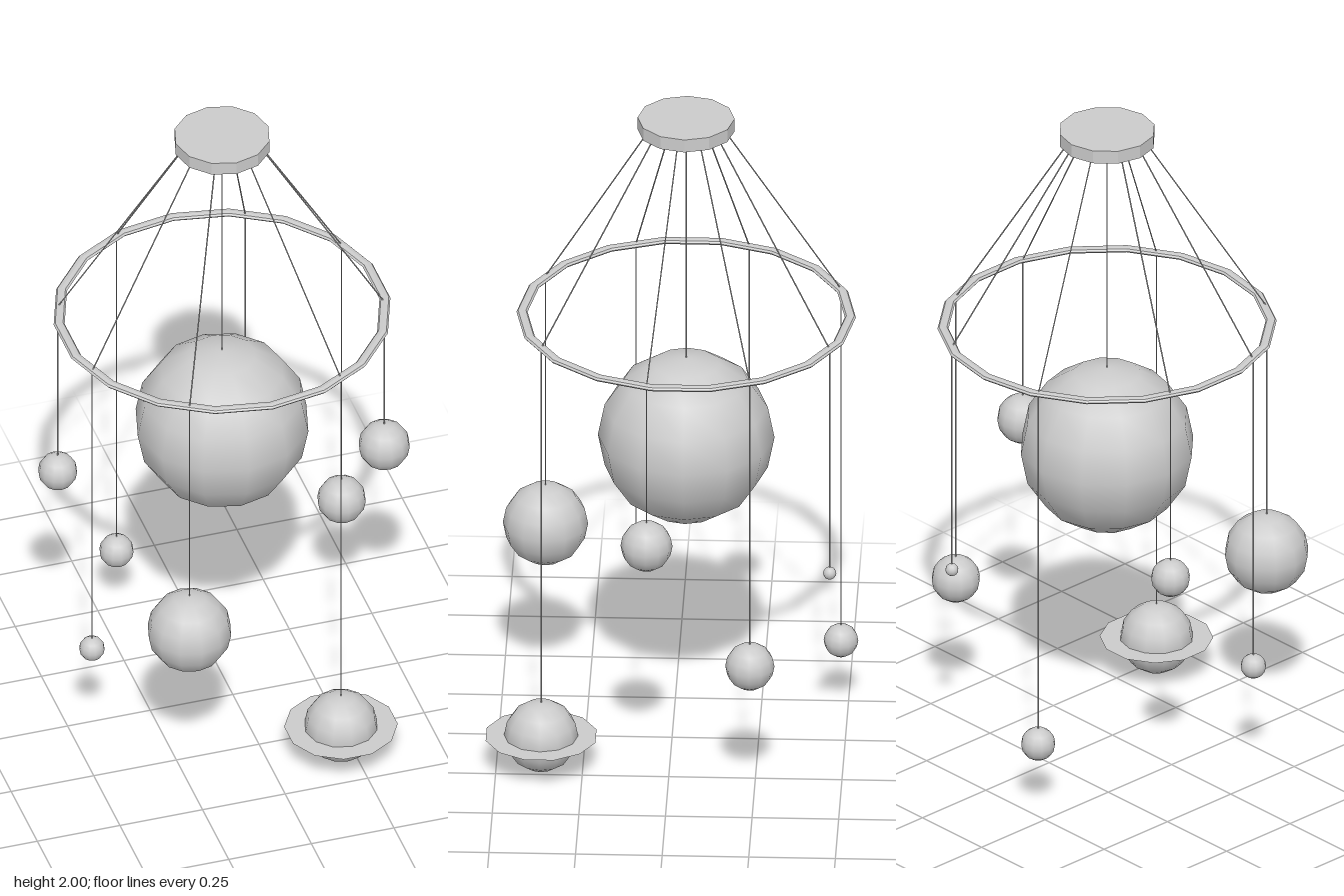
import * as THREE from 'three';

const CX = -0.02, CZ = -0.04;           // axis of the mobile
const TOP_Y = 1.96, HOOP_Y = 1.363;     // underside of the mount, hoop height
const HANG = 0.22;                      // cord start on the mount, as a fraction of its reach

export function createModel() {
  const group = new THREE.Group();
  const grey = new THREE.MeshStandardMaterial({ color: 0xcccccc });
  const flat = new THREE.MeshStandardMaterial({ color: 0xcccccc, flatShading: true });
  const thin = new THREE.MeshStandardMaterial({ color: 0xcccccc, side: THREE.DoubleSide });

  function add(name, geometry, material, x, y, z) {
    const mesh = new THREE.Mesh(geometry, material);
    mesh.name = name;
    mesh.position.set(x, y, z);
    group.add(mesh);
    return mesh;
  }

  // Thin straight cord between two points
  function cord(name, a, b) {
    const dir = b.clone().sub(a);
    const mid = a.clone().add(b).multiplyScalar(0.5);
    const mesh = add(name, new THREE.CylinderGeometry(0.002, 0.002, dir.length(), 6), grey, mid.x, mid.y, mid.z);
    mesh.quaternion.setFromUnitVectors(new THREE.Vector3(0, 1, 0), dir.normalize());
  }

  const ball = r => new THREE.SphereGeometry(r, 12, 8);

  // Ceiling mount
  add('ceilingMount', new THREE.CylinderGeometry(0.14, 0.14, 0.04, 12), flat, CX, 1.98, CZ);

  // Flattened hoop, turned so that corners point to front and back
  const hoop = new THREE.TorusGeometry(0.474, 0.016, 8, 18);
  hoop.rotateZ(Math.PI / 2).rotateX(Math.PI / 2).scale(1, 0.5, 1);
  add('hoop', hoop, flat, CX, HOOP_Y, CZ);

  // Central sun on its own cord
  add('sun', ball(0.255), grey, CX, 0.97, CZ);
  cord('sunCord', new THREE.Vector3(CX, TOP_Y, CZ), new THREE.Vector3(CX, 1.2, CZ));

  // Hanging planets: x, y, z, radius
  const planets = [
    [-0.25, 0.563, 0.375, 0.123],
    [0.21, 0.11, 0.37, 0.107],
    [0.44, 0.847, 0.057, 0.075],
    [0.405, 0.445, -0.24, 0.071],
    [-0.2, 0.225, -0.48, 0.05],
    [-0.465, 0.77, -0.205, 0.057],
    [-0.465, 0.364, 0.122, 0.037],
    [0.184, 0.638, -0.462, 0.019],
  ];
  planets.forEach(([x, y, z, r], i) => {
    add(`planet${i + 1}`, ball(r), grey, x, y, z);
    const knot = new THREE.Vector3(x, HOOP_Y, z);
    const start = new THREE.Vector3(CX + (x - CX) * HANG, TOP_Y, CZ + (z - CZ) * HANG);
    cord(`upperCord${i + 1}`, start, knot);
    cord(`lowerCord${i + 1}`, knot, new THREE.Vector3(x, y + r * 0.9, z));
  });

  // Flat ring around the lowest planet
  const [x, y, z] = planets[1];
  const ring = new THREE.RingGeometry(0.1, 0.164, 12);
  ring.rotateZ(Math.PI / 12).rotateX(-Math.PI / 2);
  add('planetRing', ring, thin, x, y, z);

  return group;
}
